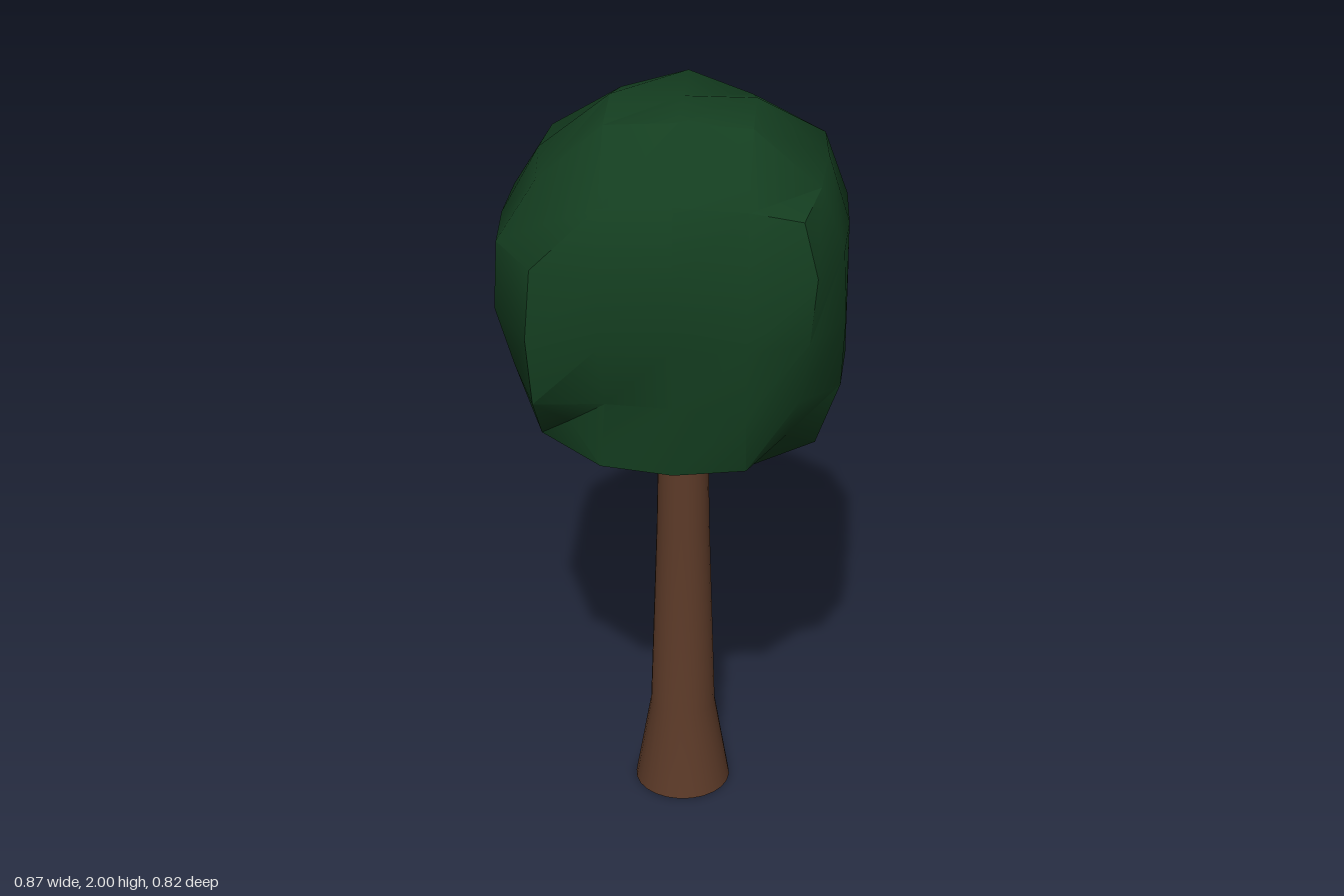
import * as THREE from 'three';
import { mergeVertices, toCreasedNormals } from 'three/addons/utils/BufferGeometryUtils.js';

const CENTER = [0.02, 1.5, 0.01];
const STEP = 0.18;
// Reach of the crown's six sides from its centre: [negative, positive] per axis
const REACH = [[0.455, 0.413], [0.43, 0.5], [0.42, 0.396]];

// Lumps and dents: lattice position (-2..2 on each axis) and radial scale
const LUMPS = [
  // top
  [1, 2, -1, 0.91], [-1, 2, -1, 0.93],
  // upper corners
  [2, 2, 2, 1.03], [2, 2, -2, 0.95], [-2, 2, 2, 0.95],
  // upright edges
  [-2, 1, -2, 0.92], [2, 0, 2, 0.92], [2, -1, 2, 0.9], [-2, 0, -2, 0.97], [-2, -1, -2, 0.95],
  // lower corners
  [2, -2, 2, 0.92], [-2, -2, 2, 0.88], [-2, -2, -2, 0.98], [2, -1, -2, 0.9],
  // hollows low on the front and right sides
  [-1, -1, 2, 0.92], [0, -1, 2, 0.93], [-2, -1, 0, 0.94], [-2, -1, 1, 0.92],
];

// Places one point of the lattice: full reach on the sides, cut back at edges and corners
function crownPoint(cell) {
  const limits = cell.filter((c) => Math.abs(c) === 2).length;
  const offCentre = cell.filter((c) => Math.abs(c) === 1).length;
  const lump = LUMPS.find((l) => cell.every((c, a) => c === l[a]));
  const scale = lump ? lump[3] : 1;
  return cell.map((c, a) => {
    let d = c * STEP;
    if (Math.abs(c) === 2) {
      const side = REACH[a][c > 0 ? 1 : 0] * (offCentre === 2 ? 0.98 : 1);
      const edge = offCentre ? 0.345 : 0.358;
      d = Math.sign(c) * [side, edge, 0.3][limits - 1];
    }
    return CENTER[a] + d * scale;
  });
}

// A cube of four segments per side, rounded point by point
function crownGeometry() {
  const box = new THREE.BoxGeometry(4, 4, 4, 4, 4, 4);
  box.deleteAttribute('uv');
  box.deleteAttribute('normal');
  const geo = mergeVertices(box, 1e-4);
  const pos = geo.attributes.position;
  for (let n = 0; n < pos.count; n++) {
    const cell = [pos.getX(n), pos.getY(n), pos.getZ(n)].map(Math.round);
    pos.setXYZ(n, ...crownPoint(cell));
  }
  return toCreasedNormals(geo, 0.7);
}

// Tapered trunk with a flared foot and a closed base
function trunkGeometry() {
  const profile = [[0, 0], [0.129, 0], [0.087, 0.25], [0.07, 0.8], [0.065, 1.08], [0.062, 1.25], [0, 1.25]];
  const lathe = new THREE.LatheGeometry(profile.map(([r, y]) => new THREE.Vector2(r, y)), 24);
  return toCreasedNormals(lathe, 0.5);
}

export function createModel() {
  const tree = new THREE.Group();
  tree.name = 'tree';

  const trunk = new THREE.Mesh(trunkGeometry(), new THREE.MeshStandardMaterial({ color: 0x5c3a28 }));
  trunk.name = 'trunk';
  trunk.position.set(0.021, 0, 0.011);

  const crown = new THREE.Mesh(crownGeometry(), new THREE.MeshStandardMaterial({ color: 0x143e20 }));
  crown.name = 'crown';

  tree.add(trunk, crown);
  return tree;
}
